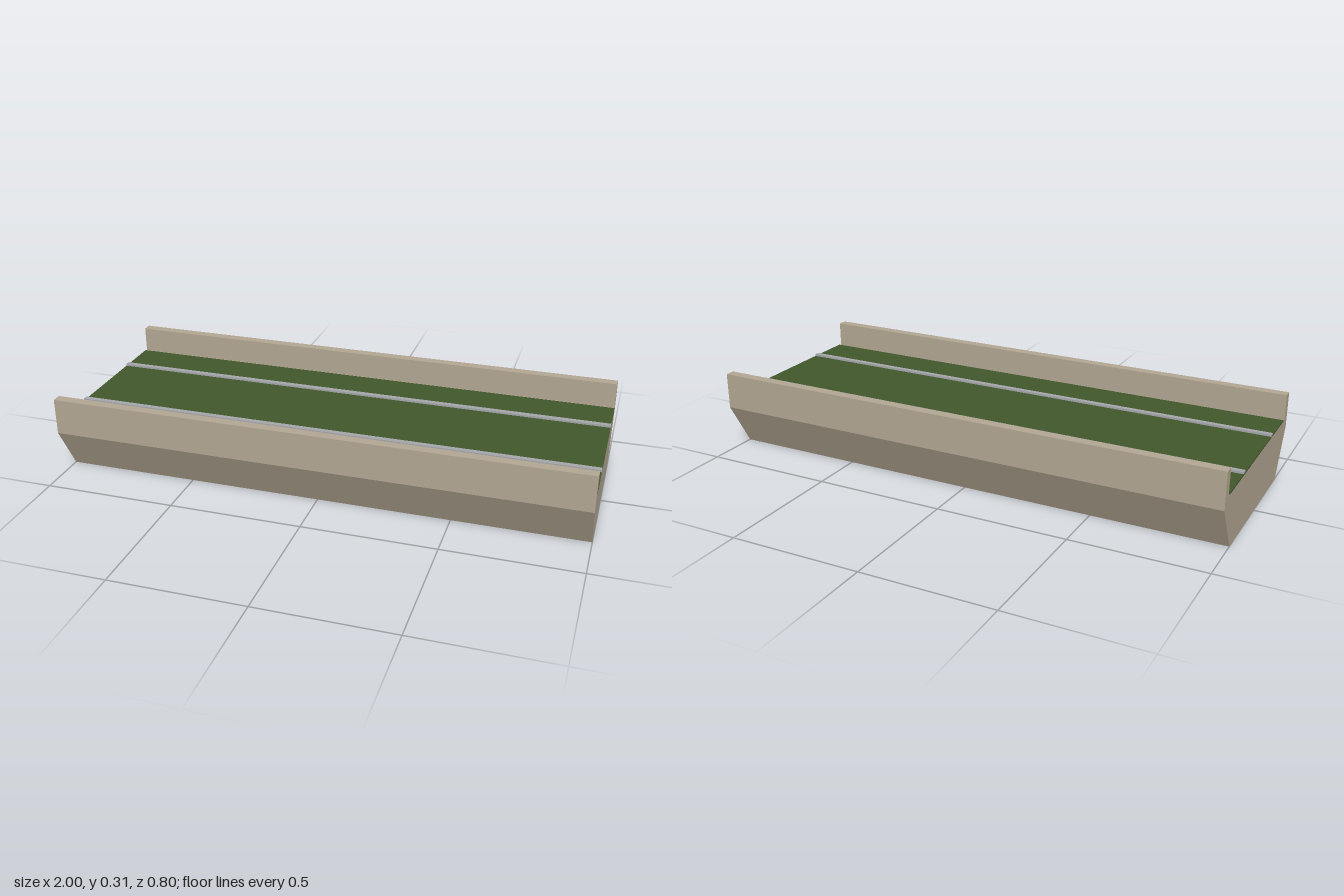
import * as THREE from 'three';

export function createModel() {
  const mat = (name, color) => new THREE.MeshStandardMaterial({ name, color });
  const concrete = mat('concrete', 0xb0a591);
  const turf = mat('green bed', 0x40572b);
  const steel = mat('rail grey', 0xa3a5a8);

  const LENGTH = 2;
  const model = new THREE.Group();
  model.name = 'trackBridgeDeck';

  const add = (name, geometry, material, y = 0, z = 0) => {
    const mesh = new THREE.Mesh(geometry, material);
    mesh.name = name;
    mesh.position.set(0, y, z);
    model.add(mesh);
  };

  // Trough section: sloped underside, flat deck, upright parapets
  const half = [[0.3, 0], [0.4, 0.175], [0.4, 0.313], [0.363, 0.313], [0.363, 0.213]];
  const outline = [...half, ...half.map(([z, y]) => [-z, y]).reverse()];
  const section = new THREE.Shape(outline.map(([z, y]) => new THREE.Vector2(z, y)));
  const trough = new THREE.ExtrudeGeometry(section, { depth: LENGTH, bevelEnabled: false });
  trough.translate(0, 0, -LENGTH / 2).rotateY(Math.PI / 2);
  add('concreteTrough', trough, concrete);

  // Green track bed lying on the deck
  add('trackBed', new THREE.BoxGeometry(LENGTH, 0.006, 0.7), turf, 0.215);

  // Pair of rails
  for (const side of [1, -1]) {
    add(side > 0 ? 'frontRail' : 'backRail',
      new THREE.BoxGeometry(LENGTH, 0.01, 0.02), steel, 0.221, side * 0.18);
  }
  return model;
}
